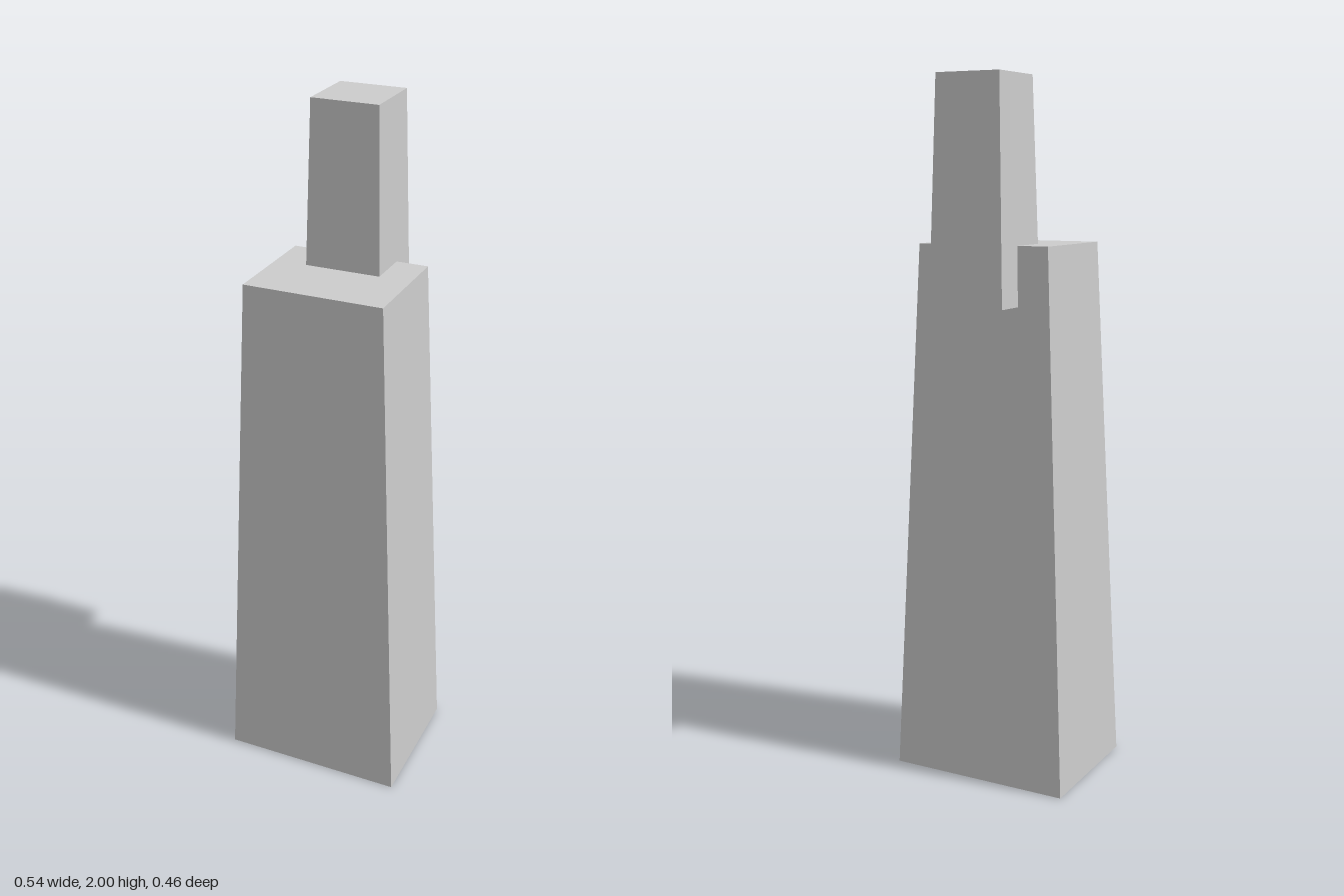
import * as THREE from 'three';

// Box whose top and bottom rectangles differ; each is [halfWidth, zBack, zFront]
function taperedBlock(name, material, y0, y1, bottom, top) {
  const geometry = new THREE.BoxGeometry(1, 1, 1);
  const p = geometry.attributes.position;
  for (let i = 0; i < p.count; i++) {
    const upper = p.getY(i) > 0;
    const [halfWidth, back, front] = upper ? top : bottom;
    p.setXYZ(i, Math.sign(p.getX(i)) * halfWidth, upper ? y1 : y0, p.getZ(i) > 0 ? front : back);
  }
  geometry.computeVertexNormals();
  const mesh = new THREE.Mesh(geometry, material);
  mesh.name = name;
  return mesh;
}

export function createModel() {
  const model = new THREE.Group();
  model.name = 'taperedTower';
  const grey = new THREE.MeshStandardMaterial({ color: 0xcccccc });
  grey.name = 'lightGrey';

  // Large tapered shaft
  model.add(taperedBlock('shaft', grey, 0, 1.545, [0.268, -0.173, 0.228], [0.2, -0.134, 0.188]));
  // Slim upper block, set into the back edge and overhanging it
  model.add(taperedBlock('upperBlock', grey, 1.38, 2, [0.1125, -0.23, -0.005], [0.096, -0.213, -0.022]));
  return model;
}
